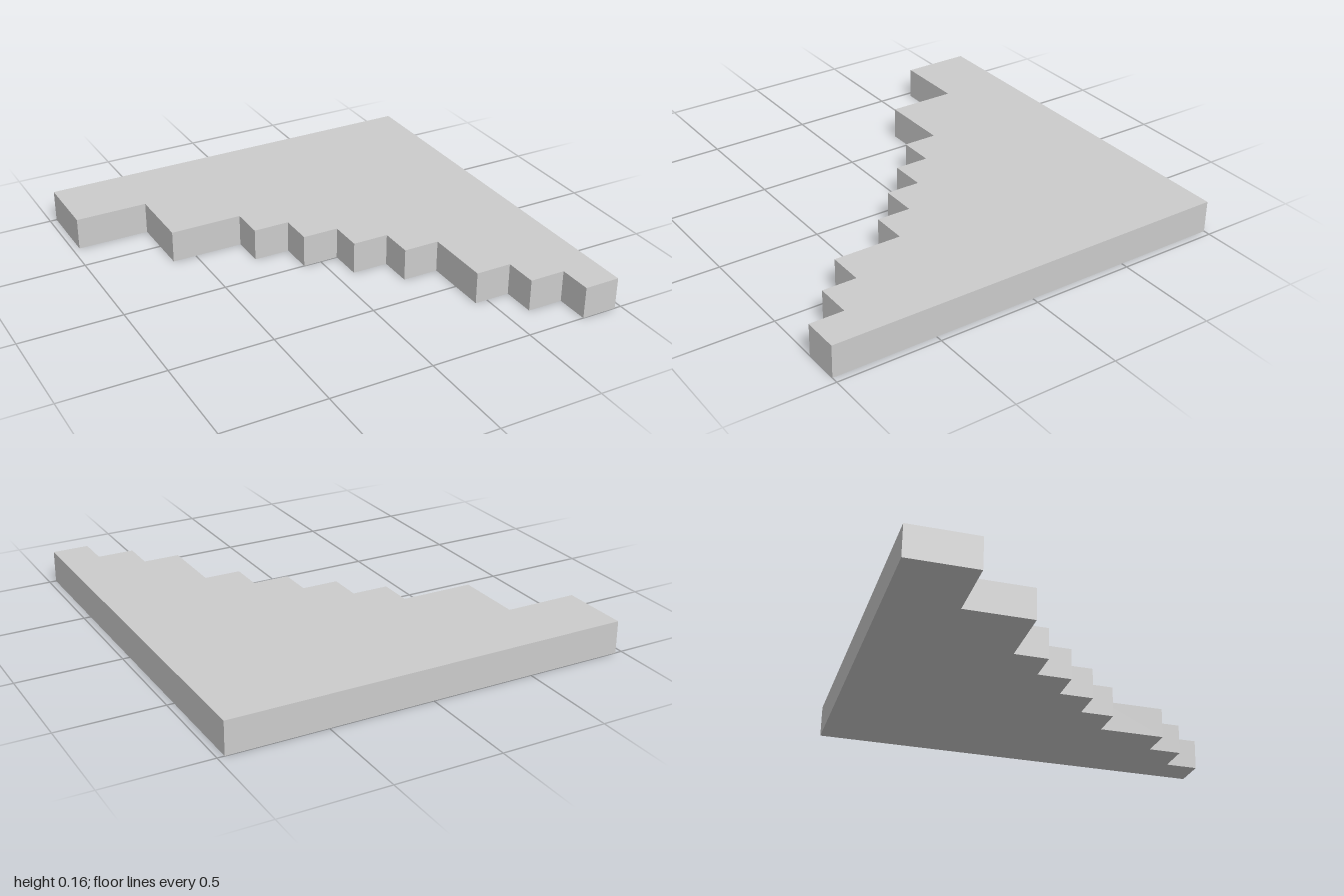
import * as THREE from 'three';

const HALF_WIDTH = 0.967;
const THICKNESS = 0.156;

// Each step of the jagged edge, from the narrow left corner to the front tip:
// [width in elevenths of the full width, depth in twelfths of the full depth]
const STEPS = [[2, 2], [2, 2], [1, 1], [1, 1], [1, 1], [1, 1], [1, 2], [1, 1], [1, 1]];

export function createModel() {
  const group = new THREE.Group();
  group.name = 'steppedSlab';

  // Plan outline, drawn with shape y = -z
  const unitX = (2 * HALF_WIDTH) / 11;
  const unitZ = 2 / 12;
  let x = -HALF_WIDTH;
  let y = 1;
  const outline = new THREE.Shape();
  outline.moveTo(HALF_WIDTH, 1);
  outline.lineTo(x, y);
  for (const [w, d] of STEPS) {
    outline.lineTo(x, (y -= d * unitZ));
    outline.lineTo((x += w * unitX), y);
  }
  outline.closePath();

  // Extrude upward and lay flat on the ground
  const geometry = new THREE.ExtrudeGeometry(outline, { depth: THICKNESS, bevelEnabled: false });
  geometry.rotateX(-Math.PI / 2);

  const slab = new THREE.Mesh(
    geometry,
    new THREE.MeshStandardMaterial({ color: 0xcccccc, flatShading: true })
  );
  slab.name = 'slab';
  group.add(slab);
  return group;
}
